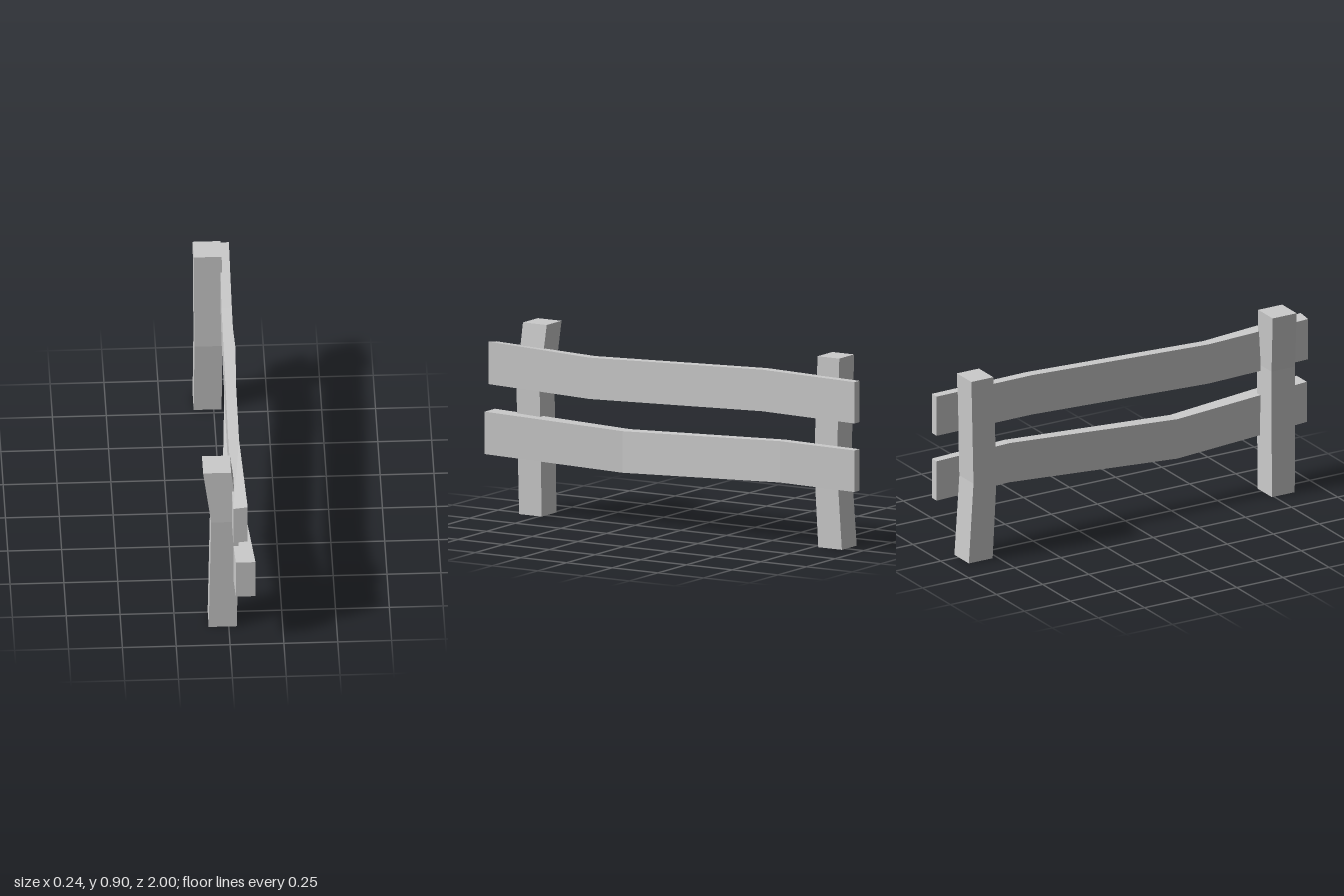
import * as THREE from 'three';

const material = new THREE.MeshStandardMaterial({ color: 0xcccccc, flatShading: true });

// Bent beam: a unit box whose cross-sections along `axis` follow the given list.
// Each section is [position, uMin, uMax, vMin, vMax, skew], u = x, v = the remaining axis.
function beam(name, axis, sections) {
  const n = sections.length - 1;
  const box = axis === 'y'
    ? new THREE.BoxGeometry(1, 1, 1, 1, n, 1)
    : new THREE.BoxGeometry(1, 1, 1, 1, 1, n);
  const geometry = box.toNonIndexed();
  const p = geometry.attributes.position;
  for (let i = 0; i < p.count; i++) {
    const along = axis === 'y' ? p.getY(i) : p.getZ(i);
    const across = axis === 'y' ? p.getZ(i) : p.getY(i);
    const [t, u0, u1, v0, v1, skew = 0] = sections[Math.round((along + 0.5) * n)];
    const u = p.getX(i) < 0 ? u0 : u1;
    const v = (across < 0 ? v0 : v1) + (p.getX(i) < 0 ? -skew : skew);
    if (axis === 'y') p.setXYZ(i, u, t, v);
    else p.setXYZ(i, u, v, t);
  }
  geometry.computeVertexNormals();
  const mesh = new THREE.Mesh(geometry, material);
  mesh.name = name;
  return mesh;
}

export function createModel() {
  const group = new THREE.Group();
  group.name = 'fence';

  // Posts, each kinked once along its height
  group.add(beam('frontPost', 'y', [
    [0, -0.093, 0.037, 0.738, 0.862],
    [0.62, -0.082, 0.048, 0.743, 0.87],
    [0.9, -0.119, 0.011, 0.727, 0.857],
  ]));
  group.add(beam('backPost', 'y', [
    [0, -0.093, 0.037, -0.904, -0.775],
    [0.39, -0.09, 0.037, -0.877, -0.752],
    [0.9, -0.093, 0.037, -0.89, -0.771],
  ]));

  // Rails, each wavering at two bends along its length
  group.add(beam('upperRail', 'z', [
    [-1, 0.037, 0.08, 0.611, 0.806],
    [-0.49, 0.024, 0.072, 0.619, 0.815],
    [0.46, 0.015, 0.065, 0.585, 0.78],
    [1, 0.015, 0.082, 0.602, 0.802, 0.004],
  ]));
  group.add(beam('lowerRail', 'z', [
    [-1, 0.037, 0.08, 0.288, 0.484],
    [-0.6, 0.045, 0.094, 0.297, 0.492],
    [0.28, -0.003, 0.062, 0.254, 0.45],
    [1, 0.027, 0.118, 0.282, 0.482],
  ]));
  return group;
}
